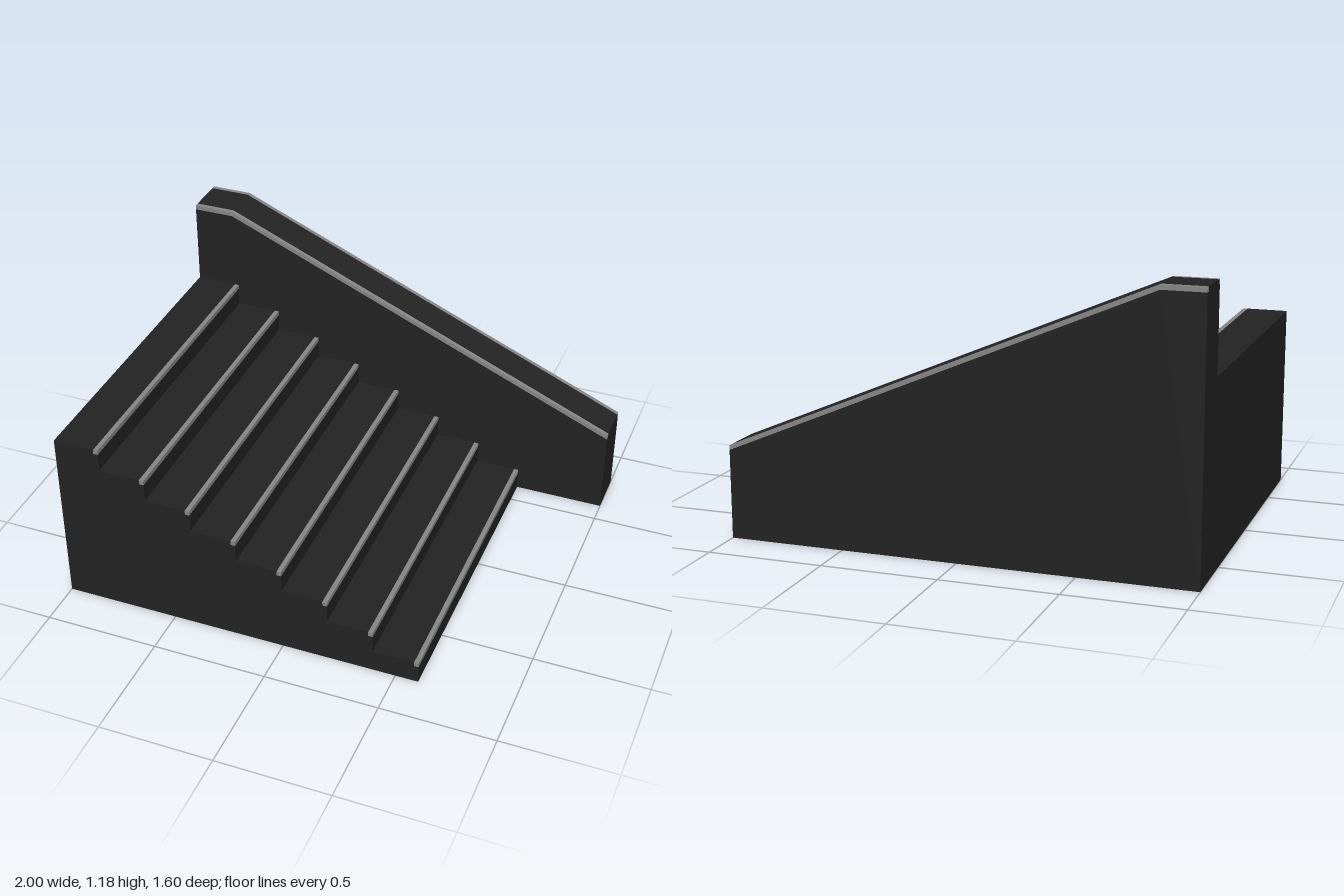
import * as THREE from 'three';

const dark = new THREE.MeshStandardMaterial({ name: 'darkStone', color: 0x232323 });
const grey = new THREE.MeshStandardMaterial({ name: 'greyTrim', color: 0x888888 });

const STEPS = 8, RUN = 0.2, RISE = 0.1, TRIM = 0.02;

// Extrudes an x/y outline from z0 to z1
function slab(name, points, z0, z1, material) {
  const shape = new THREE.Shape(points.map(([x, y]) => new THREE.Vector2(x, y)));
  const geometry = new THREE.ExtrudeGeometry(shape, { depth: z1 - z0, bevelEnabled: false });
  geometry.translate(0, 0, z0);
  const mesh = new THREE.Mesh(geometry, material);
  mesh.name = name;
  return mesh;
}

export function createModel() {
  const model = new THREE.Group();
  model.name = 'staircase';

  // Steps, each with a notch along its edge that holds the nosing
  const outline = [[-1, 0], [0.6, 0]];
  const nosings = new THREE.Group();
  nosings.name = 'stepNosings';
  for (let i = 0; i < STEPS; i++) {
    const x = 0.6 - i * RUN, y = (i + 1) * RISE;
    outline.push([x, y - TRIM], [x - TRIM, y - TRIM], [x - TRIM, y], [x - RUN, y]);
    const nosing = new THREE.Mesh(new THREE.BoxGeometry(TRIM, TRIM, 1.4), grey);
    nosing.name = 'stepNosing';
    nosing.position.set(x - TRIM / 2, y - TRIM / 2, 0.1);
    nosings.add(nosing);
  }
  model.add(slab('steps', outline, -0.6, 0.8, dark), nosings);

  // Sloping side wall: full-height core, lower faces with a trim strip above
  const top = [[1, 0.4], [-0.82, 1.18], [-1, 1.18]];
  const low = top.map(([x, y]) => [x, y - TRIM]);
  const base = [[-1, 0], [1, 0]];
  model.add(slab('wallCore', [...base, ...top], -0.8 + TRIM, -0.6 - TRIM, dark));
  for (const [side, z] of [['back', -0.8], ['front', -0.6 - TRIM]]) {
    model.add(
      slab(side + 'WallFace', [...base, ...low], z, z + TRIM, dark),
      slab(side + 'WallTrim', [...top, ...low.slice().reverse()], z, z + TRIM, grey)
    );
  }
  return model;
}
